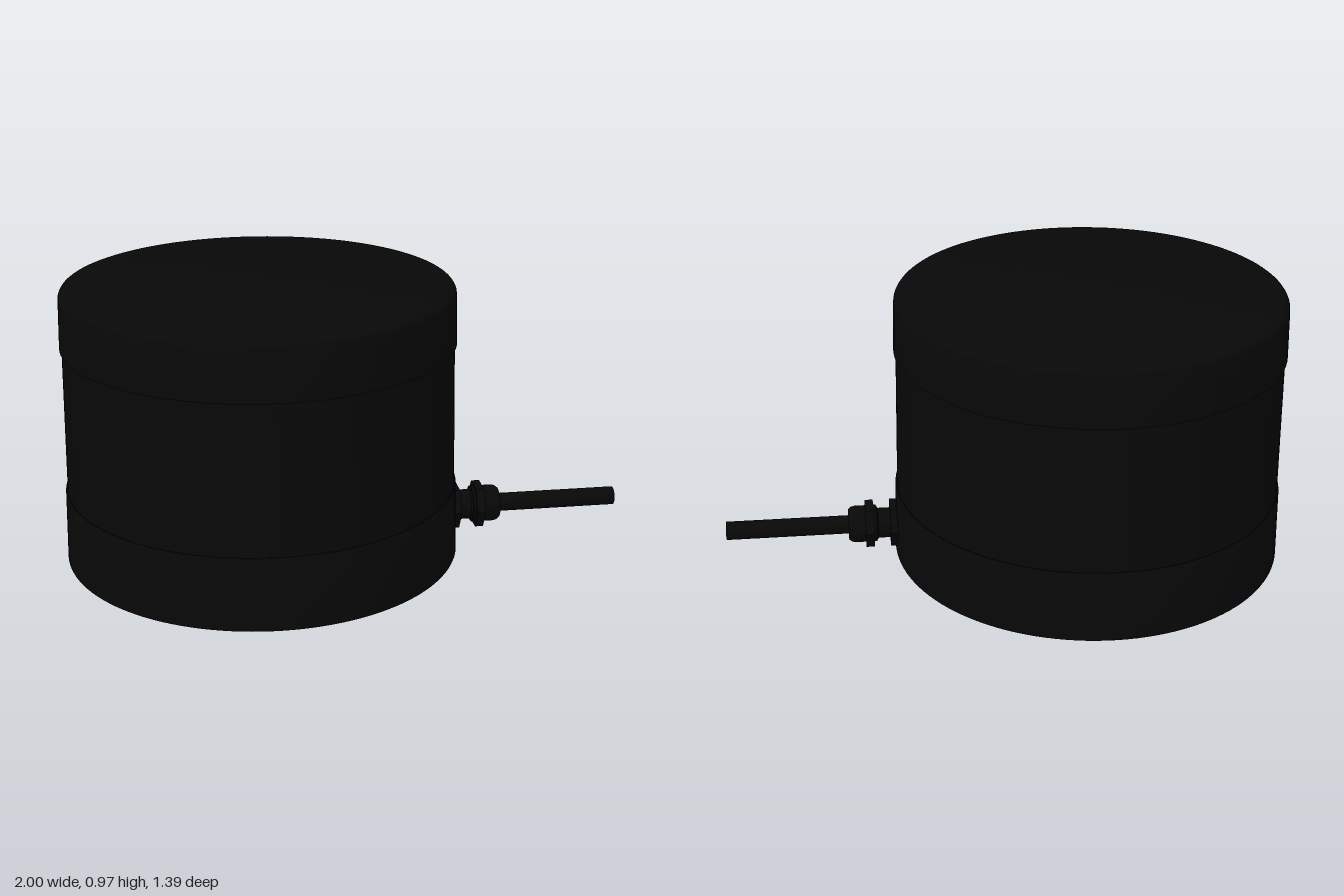
import * as THREE from 'three';
import { toCreasedNormals } from 'three/addons/utils/BufferGeometryUtils.js';

const BODY_X = -0.303;
const CABLE_Y = 0.1;
const BASE_R = 0.697;

const makeMaterial = (options = {}) => new THREE.MeshStandardMaterial({ color: 0x080808, ...options });

function addMesh(parent, name, geometry, material) {
  const mesh = new THREE.Mesh(geometry, material);
  mesh.name = name;
  parent.add(mesh);
  return mesh;
}

// Revolves [radius, height] points, keeping steps crisp
function lathe(points, segments) {
  const geometry = new THREE.LatheGeometry(points.map(([r, y]) => new THREE.Vector2(r, y)), segments);
  return toCreasedNormals(geometry, Math.PI / 6);
}

export function createModel() {
  const model = new THREE.Group();
  model.name = 'cylindricalSensor';
  const smooth = makeMaterial();
  const flat = makeMaterial({ flatShading: true });
  const inside = makeMaterial({ side: THREE.DoubleSide });

  // Housing: tapered base band, slimmer wall and overhanging lid
  const housing = new THREE.Group();
  housing.name = 'housing';
  housing.position.x = BODY_X;
  model.add(housing);
  addMesh(housing, 'baseBand', lathe([[BASE_R, 0], [0.691, 0.248], [0.688, 0.254], [0.68, 0.254]], 128), smooth);
  addMesh(housing, 'wall', lathe([[0.685, 0.25], [0.676, 0.78]], 128), smooth);

  const lidProfile = [[0.67, 0.772], [0.684, 0.772], [0.679, 0.942]];
  for (let i = 1; i <= 6; i++) {
    const a = (i / 6) * Math.PI / 2;
    lidProfile.push([0.649 + 0.03 * Math.cos(a), 0.942 + 0.03 * Math.sin(a)]);
  }
  lidProfile.push([0, 0.972]);
  addMesh(housing, 'lid', lathe(lidProfile, 128), smooth);

  // Underside with a central hole and two mounting holes
  const holes = [[0, 0, 0.032], [0, 0.61, 0.022], [0, -0.61, 0.022]];
  const depth = 0.05;
  const disc = new THREE.Shape().absarc(0, 0, BASE_R, 0, Math.PI * 2);
  for (const [x, z, r] of holes) {
    disc.holes.push(new THREE.Path().absarc(x, z, r, 0, Math.PI * 2, true));
    const wall = addMesh(housing, 'mountingHoleWall', new THREE.CylinderGeometry(r, r, depth, 24, 1, true), inside);
    wall.position.set(x, depth / 2, z);
    const end = addMesh(housing, 'mountingHoleEnd', new THREE.CircleGeometry(r, 24).rotateX(Math.PI / 2), smooth);
    end.position.set(x, depth, z);
  }
  addMesh(housing, 'underside', new THREE.ShapeGeometry(disc, 64).rotateX(Math.PI / 2), smooth);

  // Cable gland, turned so that its axis runs along x
  const gland = new THREE.Group();
  gland.name = 'cableGland';
  gland.position.y = CABLE_Y;
  gland.rotation.z = -Math.PI / 2;
  model.add(gland);

  const hexNut = (name, from, to, radius) => {
    const nut = addMesh(gland, name, new THREE.CylinderGeometry(radius, radius, to - from, 6), flat);
    nut.position.y = (from + to) / 2;
  };
  hexNut('mountingNut', 0.37, 0.413, 0.085);
  addMesh(gland, 'glandBody', lathe([[0.054, 0.38], [0.054, 0.455], [0.06, 0.46], [0.06, 0.48]], 40), smooth);
  hexNut('clampingNut', 0.472, 0.502, 0.085);
  addMesh(gland, 'clampingCap', lathe([
    [0, 0.462], [0.066, 0.462], [0.066, 0.54], [0.063, 0.553], [0.055, 0.563], [0.033, 0.563],
  ], 40), smooth);

  // Cable stub
  addMesh(gland, 'cable', lathe([[0.033, 0.45], [0.033, 1], [0, 1]], 32), smooth);

  return model;
}
